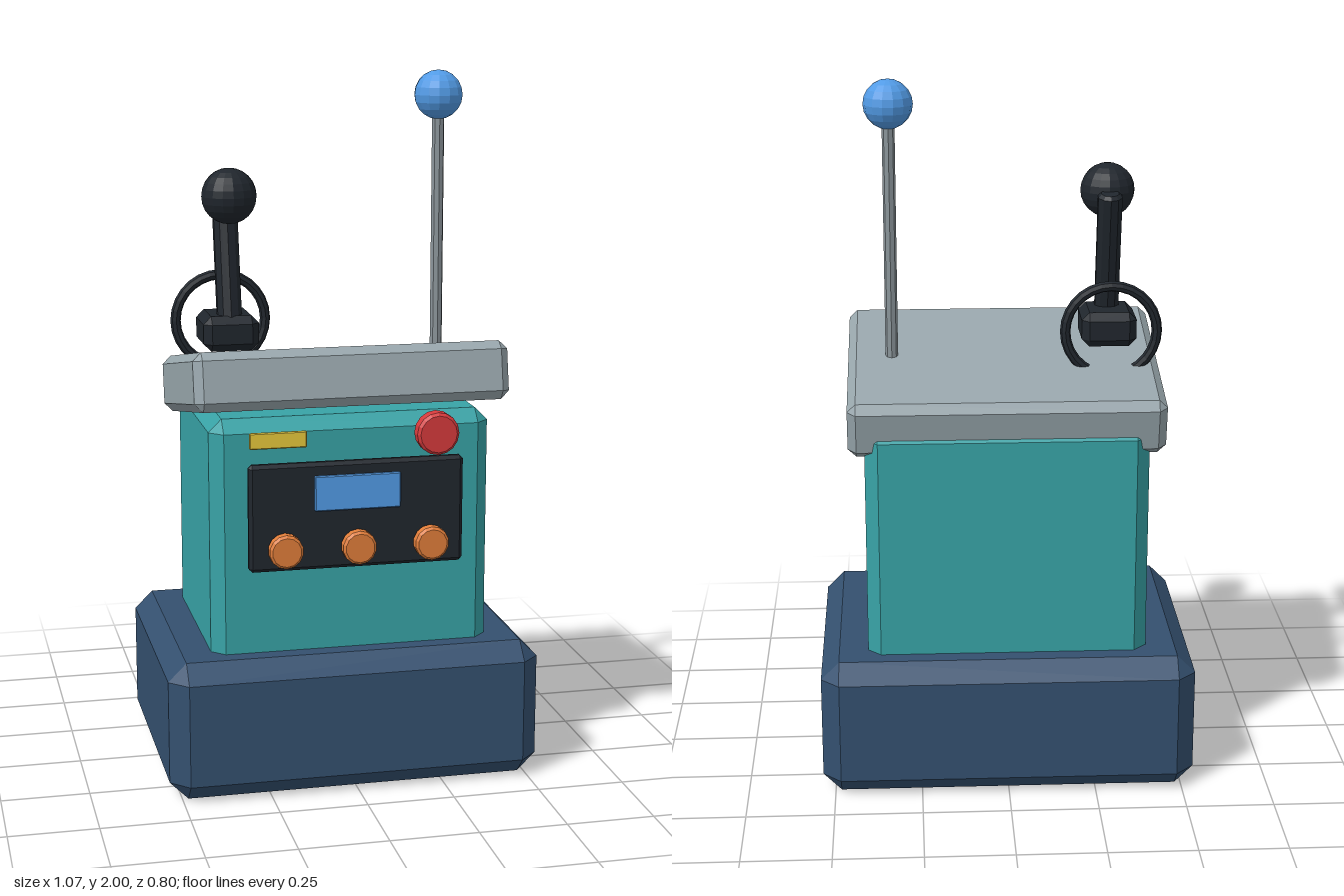
import * as THREE from 'three';
import { ConvexGeometry } from 'three/addons/geometries/ConvexGeometry.js';

const mat = (color) => new THREE.MeshStandardMaterial({ color, flatShading: true });
const NAVY = mat(0x34506f), TEAL = mat(0x38a3a6), GREY = mat(0x98a6ac), BLACK = mat(0x20262d);
const ORANGE = mat(0xe07d3a), RED = mat(0xd63a3c), YELLOW = mat(0xe6c83c), BLUE = mat(0x529be6);
const STEEL = mat(0x8b959a);

// Box with every edge cut at 45 degrees by c
function chamferBox(w, h, d, c) {
  const points = [];
  for (const sx of [-1, 1]) for (const sy of [-1, 1]) for (const sz of [-1, 1]) {
    for (let face = 0; face < 3; face++) {
      const [x, y, z] = [w, h, d].map((size, i) => size / 2 - (i === face ? 0 : c));
      points.push(new THREE.Vector3(sx * x, sy * y, sz * z));
    }
  }
  return new ConvexGeometry(points);
}

// Cylinder along y with bevelled rims, centred on its middle
function bevelCylinder(r, h, c, sides) {
  const profile = [[0, -h / 2], [r - c, -h / 2], [r, -h / 2 + c], [r, h / 2 - c], [r - c, h / 2], [0, h / 2]];
  return new THREE.LatheGeometry(profile.map(([x, y]) => new THREE.Vector2(x, y)), sides);
}

export function createModel() {
  const model = new THREE.Group();
  const add = (name, geometry, material, x, y, z, tilt = 0, parent = model) => {
    const mesh = new THREE.Mesh(geometry, material);
    mesh.name = name;
    mesh.position.set(x, y, z);
    mesh.rotation.x = tilt;
    parent.add(mesh);
    return mesh;
  };

  // Pedestal and sloping top
  add('base', chamferBox(1.07, 0.4, 0.8, 0.052), NAVY, 0, 0.2, 0);
  add('body', chamferBox(0.8, 0.75, 0.6, 0.037), TEAL, 0, 0.695, 0);
  add('topSlab', chamferBox(0.892, 0.165, 0.64, 0.024), GREY, 0, 1.125, 0.017, -0.2);

  // Front controls
  const controls = new THREE.Group();
  controls.name = 'frontControls';
  model.add(controls);
  add('panel', chamferBox(0.61, 0.305, 0.032, 0.01), BLACK, 0, 0.803, 0.345, 0, controls);
  add('screen', chamferBox(0.244, 0.1, 0.012, 0.003), BLUE, 0, 0.87, 0.366, 0, controls);
  add('label', chamferBox(0.16, 0.046, 0.01, 0.003), YELLOW, -0.225, 1.028, 0.372, 0, controls);
  for (const x of [-0.207, 0, 0.207]) {
    add('knob', bevelCylinder(0.048, 0.04, 0.007, 14), ORANGE, x, 0.716, 0.382, Math.PI / 2, controls);
  }
  add('redButton', bevelCylinder(0.06, 0.05, 0.008, 16), RED, 0.222, 1.028, 0.375, Math.PI / 2, controls);

  // Antenna
  add('antennaRod', new THREE.CylinderGeometry(0.018, 0.018, 0.76, 8), STEEL, 0.32, 1.5, 0);
  add('antennaBall', new THREE.SphereGeometry(0.07, 14, 10), BLUE, 0.32, 1.93, 0);

  // Lever with its guard ring
  const lever = new THREE.Group();
  lever.name = 'lever';
  lever.position.x = -0.305;
  model.add(lever);
  add('leverBase', chamferBox(0.158, 0.1, 0.175, 0.022), BLACK, 0, 1.28, 0.042, 0, lever);
  add('leverShaft', bevelCylinder(0.036, 0.4, 0.01, 10), BLACK, 0, 1.475, 0.045, -0.2, lever);
  add('leverBall', new THREE.SphereGeometry(0.078, 16, 12), BLACK, 0, 1.665, 0.09, 0, lever);
  add('guardRing', new THREE.TorusGeometry(0.131, 0.015, 8, 28), BLACK, 0, 1.29, -0.075, 0, lever);

  return model;
}
